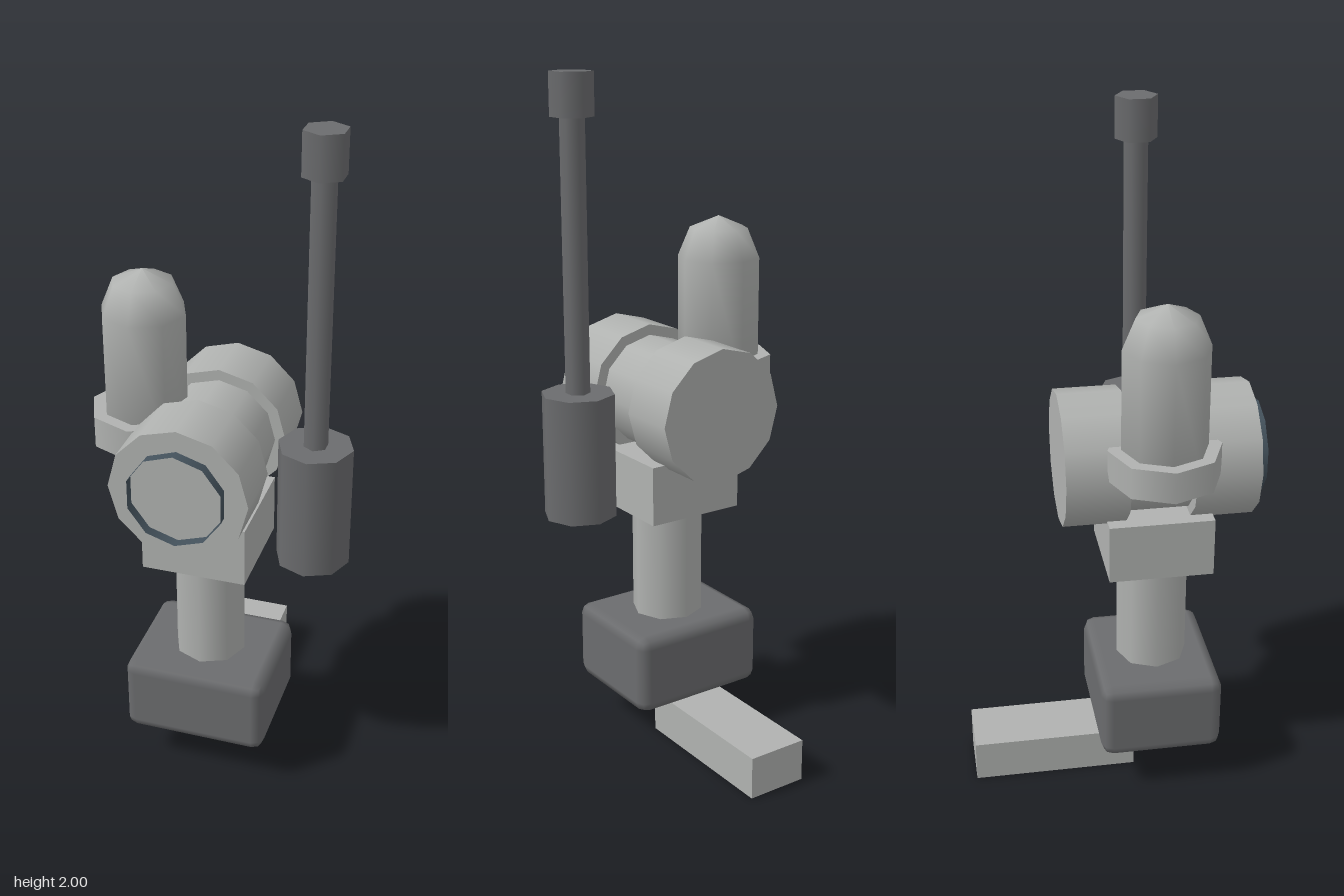
import * as THREE from 'three';
import { RoundedBoxGeometry } from 'three/addons/geometries/RoundedBoxGeometry.js';

export function createModel() {
  const model = new THREE.Group();
  const material = (name, color, side = THREE.FrontSide) => {
    const m = new THREE.MeshStandardMaterial({ color, side });
    m.name = name;
    return m;
  };
  const light = material('light grey', 0xb0b2b0);
  const dark = material('dark grey', 0x6b6c6e);
  const blue = material('dark blue grey', 0x44525c, THREE.DoubleSide);

  function add(name, geometry, mat, x, y, z) {
    const mesh = new THREE.Mesh(geometry, mat);
    mesh.name = name;
    mesh.position.set(x, y, z);
    model.add(mesh);
    return mesh;
  }
  // Box given by its limits on each axis
  const box = (name, mat, [x0, x1], [y0, y1], [z0, z1]) =>
    add(name, new THREE.BoxGeometry(x1 - x0, y1 - y0, z1 - z0), mat,
      (x0 + x1) / 2, (y0 + y1) / 2, (z0 + z1) / 2);
  // Upright prism between two heights
  const post = (name, mat, r, sides, x, z, y0, y1) =>
    add(name, new THREE.CylinderGeometry(r, r, y1 - y0, sides), mat, x, (y0 + y1) / 2, z);
  // Barrel section lying along z
  const barrel = (name, mat, r, sides, z0, z1, open = false) => {
    const g = new THREE.CylinderGeometry(r, r, z1 - z0, sides, 1, open).rotateX(Math.PI / 2);
    return add(name, g, mat, -0.037, 1.052, (z0 + z1) / 2);
  };

  // Foot, base and neck
  box('foot', light, [-0.128, 0.055], [0, 0.127], [-0.432, 0.06]);
  add('base', new RoundedBoxGeometry(0.432, 0.242, 0.366, 1, 0.034), dark, -0.038, 0.249, 0.127);
  post('neck', light, 0.107, 8, -0.037, 0.127, 0.36, 0.72);
  box('saddle', light, [-0.19, 0.115], [0.715, 0.893], [-0.026, 0.28]);

  // Horizontal barrel with a narrower waist
  barrel('barrelFront', light, 0.198, 12, 0.215, 0.4);
  barrel('barrelWaist', light, 0.166, 12, 0.03, 0.215);
  barrel('barrelBack', light, 0.198, 12, -0.153, 0.03);
  barrel('lensRim', blue, 0.138, 10, 0.4, 0.43, true);

  // Domed canister on a collar
  post('collar', light, 0.16, 8, -0.222, 0.122, 1.065, 1.157);
  const profile = [[0, 1.1], [0.122, 1.1], [0.122, 1.45]].map(([r, y]) => new THREE.Vector2(r, y));
  for (let i = 1; i <= 2; i++) {
    const a = i * Math.PI / 4;
    profile.push(new THREE.Vector2(i === 2 ? 0 : 0.122 * Math.cos(a), 1.45 + 0.122 * Math.sin(a)));
  }
  add('domedCanister', new THREE.LatheGeometry(profile, 8), light, -0.222, 0, 0.122);

  // Antenna
  post('antennaHolder', dark, 0.107, 8, 0.271, 0.122, 0.743, 1.11);
  post('antennaRod', dark, 0.035, 6, 0.271, 0.122, 1.1, 1.89);
  post('antennaTip', dark, 0.061, 6, 0.271, 0.122, 1.88, 2);

  return model;
}
